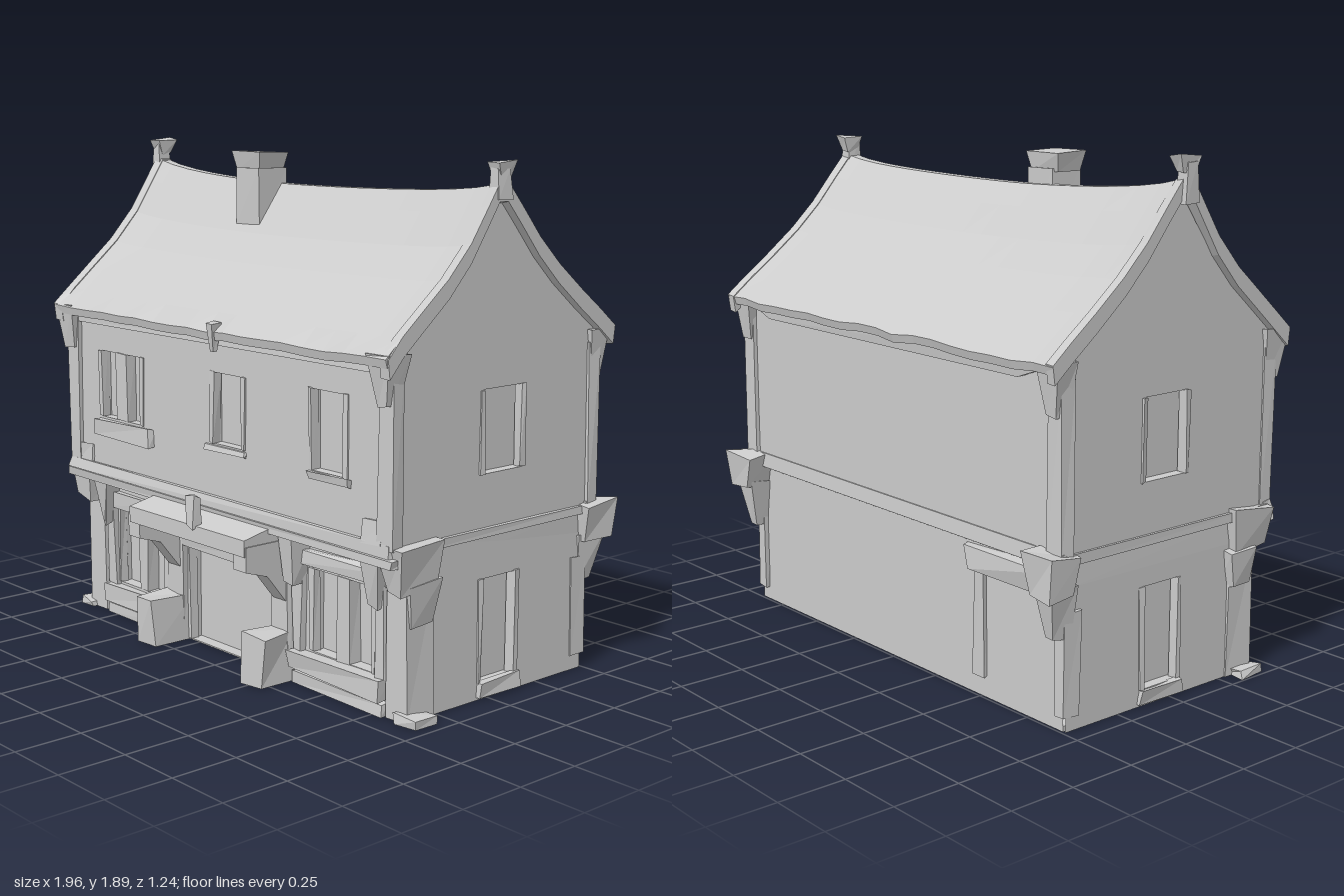
import * as THREE from 'three';

const MID = -0.02; // centre line of the house
const mat = new THREE.MeshStandardMaterial({ color: 0xcccccc, flatShading: true, side: THREE.DoubleSide });

// Repeatable hash so that equal corners always move together
const hash = (x, y, z, k) => {
  const s = Math.sin(x * 127.1 + y * 311.7 + z * 74.7 + k * 53.3) * 43758.5453;
  return (s - Math.floor(s)) * 2 - 1;
};

function mesh(name, geo) {
  const m = new THREE.Mesh(geo, mat);
  m.name = name;
  return m;
}

// Hand-hewn box given by its limits; taper scales the bottom, wobble shifts the corners
function block(name, [x0, x1], [y0, y1], [z0, z1], wobble = 0.008, taper = 1) {
  const geo = new THREE.BoxGeometry(x1 - x0, y1 - y0, z1 - z0);
  const p = geo.attributes.position;
  const cx = (x0 + x1) / 2, cy = (y0 + y1) / 2, cz = (z0 + z1) / 2;
  for (let i = 0; i < p.count; i++) {
    const t = p.getY(i) < 0 ? taper : 1;
    const x = p.getX(i) * t + cx, y = p.getY(i) + cy, z = p.getZ(i) * t + cz;
    p.setXYZ(i, x + wobble * hash(x, y, z, 1),
      y < 0.01 ? y : y + wobble * hash(x, y, z, 2), z + wobble * hash(x, y, z, 3));
  }
  geo.computeVertexNormals();
  return mesh(name, geo);
}

// Thin wall in its own plane (outside is +z) with box recesses [u0, u1, v0, v1, mullion width]
function wall(name, points, openings = [], depth = 0.04) {
  const g = new THREE.Group();
  g.name = name;
  const shape = new THREE.Shape(points.map(([u, v]) => new THREE.Vector2(u, v)));
  for (const [u0, u1, v0, v1, bar = 0] of openings) {
    shape.holes.push(new THREE.Path(rect(u0, u1, v0, v1).map(([u, v]) => new THREE.Vector2(u, v))));
    const recess = block('recess', [u0, u1], [v0, v1], [-depth, 0], 0);
    const faces = Array.from(recess.geometry.index.array);
    faces.splice(24, 6); // open towards the outside
    recess.geometry.setIndex(faces);
    g.add(recess);
    if (bar) {
      const u = (u0 + u1) / 2;
      g.add(block('mullion', [u - bar / 2, u + bar / 2], [v0, v1], [-depth, 0.004], 0.005));
    }
    // Thin uneven frame
    for (const u of [u0, u1]) g.add(block('jamb', [u - 0.014, u + 0.006], [v0, v1], [-0.03, 0.006], 0.005));
  }
  g.add(mesh('wallFace', new THREE.ShapeGeometry(shape)));
  return g;
}
const rect = (u0, u1, v0, v1) => [[u0, v0], [u1, v0], [u1, v1], [u0, v1]];

// Concave roof section, front eave to back eave, as [z, y]
const PROFILE = [[0.515, 1.235], [0.45, 1.295], [0.36, 1.365], [0.25, 1.45], [0.15, 1.55], [0.07, 1.66], [0.02, 1.73],
  [-0.02, 1.73], [-0.09, 1.655], [-0.18, 1.555], [-0.28, 1.465], [-0.4, 1.375], [-0.5, 1.305], [-0.58, 1.245]];

// Sagging roof slab between two x values, its ends swept up and out
function roofShell(name, x0, x1, steps, thick, lift) {
  const n = PROFILE.length, ring = 2 * n, pos = [], idx = [];
  for (let s = 0; s <= steps; s++) {
    const x = x0 + ((x1 - x0) * s) / steps, t = Math.abs((x - MID) / 0.955);
    const sweep = x < MID ? 0.055 * t * t + 0.02 * t ** 8 : 0.025 * t * t + 0.02 * t ** 8;
    const outer = PROFILE.map(([z, y], i) => {
      const edge = i === 0 || i === n - 1 ? 0.006 * hash(s, i, 1, x0) : 0;
      return [x, y + lift + edge + sweep * (y - 1.2) / 0.53, z * (1 + 0.02 * t ** 6) + edge];
    });
    const inner = outer.map(([a, y, z]) => [a, y - thick, z * 0.985]).reverse();
    pos.push(...outer.flat(), ...inner.flat());
  }
  const quad = (a, b, c, d) => idx.push(a, b, c, a, c, d);
  for (let s = 0; s < steps; s++) {
    for (let i = 0; i < ring; i++) {
      const j = (i + 1) % ring, a = s * ring, b = a + ring;
      quad(a + i, b + i, b + j, a + j);
    }
  }
  const e = steps * ring;
  for (let i = 0; i < n - 1; i++) {
    quad(e + i, e + ring - 1 - i, e + ring - 2 - i, e + i + 1);
    quad(i, i + 1, ring - 2 - i, ring - 1 - i);
  }
  const geo = new THREE.BufferGeometry();
  geo.setAttribute('position', new THREE.Float32BufferAttribute(pos, 3));
  geo.setIndex(idx);
  geo.computeVertexNormals();
  return mesh(name, geo);
}

// Bracket profile in (z, y), extruded across x
function bracket(name, x, width, points) {
  const shape = new THREE.Shape(points.map(([z, y]) => new THREE.Vector2(-z, y)));
  const geo = new THREE.ExtrudeGeometry(shape, { depth: width, bevelEnabled: false });
  geo.rotateY(Math.PI / 2);
  geo.translate(x - width / 2, 0, 0);
  return mesh(name, geo);
}

export function createModel() {
  const house = new THREE.Group();
  house.name = 'house';
  const add = (...parts) => house.add(...parts);
  const place = (w, x, z, turn) => { w.position.set(x, 0, z); w.rotation.y = turn; add(w); };

  // Front and back walls; the ground floor is a shell with a strip of base along the back
  place(wall('groundFrontWall', rect(-0.92, 0.89, 0, 0.55), [
    [-0.76, -0.44, 0.13, 0.43, 0.06], [0.41, 0.73, 0.13, 0.43, 0.06], [-0.3, 0.2, 0.005, 0.37]], 0.05), 0, 0.38, 0);
  place(wall('upperFrontWall', rect(-0.94, 0.9, 0.58, 1.24), [
    [-0.74, -0.47, 0.82, 1.08, 0.07], [-0.04, 0.14, 0.82, 1.08], [0.5, 0.68, 0.81, 1.09]]), 0, 0.465, 0);
  place(wall('groundBackWall', rect(-0.89, 0.92, 0, 0.55)), 0, -0.49, Math.PI);
  place(wall('upperBackWall', rect(-0.9, 0.94, 0.58, 1.25)), 0, -0.52, Math.PI);
  add(block('baseStrip', [-0.92, 0.89], [0, 0.02], [-0.49, -0.28], 0));

  // Floor between the storeys and the moulding above it
  add(block('floorSlab', [-0.93, 0.89], [0.5, 0.59], [-0.48, 0.38], 0.003));
  add(block('frontBand', [-0.96, 0.92], [0.55, 0.585], [0.37, 0.49]));
  add(block('frontBandTop', [-0.95, 0.9], [0.585, 0.63], [0.44, 0.485]));
  add(bracket('backBand', MID, 1.86, [[-0.48, 0.545], [-0.53, 0.57], [-0.525, 0.625], [-0.48, 0.625]]));

  for (const s of [-1, 1]) {
    const X = (d) => MID + s * d;
    const span = (a, b) => [Math.min(X(a), X(b)), Math.max(X(a), X(b))];
    const side = s > 0 ? 'left' : 'right';
    const turn = (s * Math.PI) / 2;
    const flip = (pts) => pts.map(([z, y]) => [-s * z, y]);
    const hole = (z0, z1, y0, y1) => [Math.min(-s * z0, -s * z1), Math.max(-s * z0, -s * z1), y0, y1];

    // Gable end and ground floor end, each with an opening
    const gable = [[-0.52, 0.58], [0.465, 0.58], [0.465, 1.22],
      ...PROFILE.slice(1, -1).map(([z, y]) => [z, y - 0.01]), [-0.52, 1.24]];
    place(wall(side + 'GableWall', flip(gable), [hole(-0.15, 0.05, 0.8, 1.09)]), X(0.92), 0, turn);
    place(wall(side + 'GroundEndWall', flip(rect(-0.49, 0.38, 0, 0.58)), [hole(-0.14, 0.04, 0.06, 0.43)]),
      X(0.91), 0, turn);
    add(block(side + 'DoorStep', span(0.9, 0.925), [0.01, 0.06], [-0.15, 0.05]));
    add(block(side + 'EndBand', span(0.89, 0.93), [0.58, 0.615], [-0.52, 0.46], 0.005));

    // Upper corner posts, flaring out under the eaves
    for (const [end, z] of [['Front', 0.455], ['Back', -0.505]]) {
      add(block(side + end + 'Post', span(0.86, 0.93), [0.6, 1.2], [z - 0.025, z + 0.025], 0.006));
      const out = Math.sign(z) * 0.015;
      add(block(side + end + 'PostHead', span(0.85, 0.945), [1.08, 1.25], [z + out - 0.05, z + out + 0.05], 0.006, 0.5));
    }
    add(block(side + 'PostFoot', span(0.79, 0.88), [0.62, 0.69], [0.45, 0.48], 0.01));

    // Ground corner piers and carved capitals
    add(block(side + 'FrontPier', span(0.82, 0.92), [0, 0.45], [0.28, 0.4], 0.006));
    add(block(side + 'BackPier', span(0.87, 0.915), [0.05, 0.42], [-0.505, -0.43], 0.006));
    add(block(side + 'FrontCapital', span(0.83, 0.965), [0.46, 0.62], [0.28, 0.46], 0.015, 0.75));
    add(block(side + 'FrontCorbel', span(0.85, 0.945), [0.34, 0.48], [0.26, 0.4], 0.012, 0.7));
    add(block(side + 'BackCapital', span(0.83, 0.96), [0.48, 0.62], [-0.61, -0.46], 0.015, 0.75));
    add(block(side + 'BackCorbel', span(0.84, 0.93), [0.33, 0.5], [-0.57, -0.45], 0.012, 0.5));
    add(block(side + 'FootStone', span(0.88, 0.97), [0, 0.025], [0.31, 0.42], 0.012));

    // Gable boards and finial
    const [r0, r1] = span(0.91, 0.95);
    add(roofShell(side + 'GableBoard', r0, r1, 1, 0.065, 0.005));
    const top = s > 0 ? 1.845 : 1.88, f = s > 0 ? 0 : 0.015;
    add(block(side + 'Finial', span(0.91 + f, 0.95 + f), [1.72, top - 0.02], [-0.025, 0.025], 0.004, 1.3));
    add(block(side + 'FinialCap', span(0.9 + f, 0.955 + f), [top - 0.06, top], [-0.055, 0.035], 0.008, 0.6));

    // Door pillars, feet and canopy brackets
    const d = -0.045 + s * 0.315;
    add(block(side + 'DoorPillar', [d - 0.045, d + 0.045], [0, 0.5], [0.37, 0.41]));
    add(block(side + 'DoorPillarFoot', [d - 0.05, d + 0.05], [0, 0.19], [0.37, 0.54], 0.015));
    add(bracket(side + 'CanopyBracket', d, 0.07,
      [[0.38, 0.26], [0.42, 0.3], [0.5, 0.4], [0.595, 0.43], [0.595, 0.52], [0.38, 0.52]]));
  }
  // Brace and its sloping head on the back wall
  add(block('backBrace', [-0.53, -0.47], [0.08, 0.5], [-0.505, -0.48], 0.008, 0.8));
  add(block('backBraceHead', [-0.9, -0.43], [0.46, 0.55], [-0.53, -0.48], 0.012, 0.8));

  // Door lintel and sloping canopy with a small crest
  add(block('doorLintel', [-0.31, 0.2], [0.37, 0.43], [0.37, 0.41], 0.012));
  add(block('doorFrieze', [-0.3, 0.21], [0.44, 0.5], [0.37, 0.45], 0.01));
  add(bracket('canopy', -0.04, 0.68, [[0.38, 0.5], [0.6, 0.485], [0.6, 0.545], [0.46, 0.575], [0.38, 0.58]]));
  add(block('canopyCrest', [-0.015, 0.025], [0.54, 0.65], [0.575, 0.615], 0.01, 0.8));

  // Front sills, ground floor window posts and heads
  add(block('upperSill', [-0.76, -0.41], [0.745, 0.81], [0.45, 0.49]));
  add(block('middleSill', [-0.08, 0.15], [0.79, 0.82], [0.45, 0.48]));
  add(block('endSill', [0.49, 0.7], [0.78, 0.81], [0.45, 0.48]));
  for (const [x0, x1] of [[-0.81, -0.39], [0.33, 0.8]]) {
    add(block('groundSill', [x0, x1], [0.06, 0.125], [0.37, 0.43]));
    add(block('groundPlinth', [x0, x1], [0, 0.04], [0.37, 0.41]));
    add(block('groundWindowHead', [x0, x1], [0.44, 0.5], [0.37, 0.41], 0.012));
    for (const x of [x0 + 0.02, x1 - 0.02]) {
      add(block('groundWindowPost', [x - 0.025, x + 0.025], [0.12, 0.45], [0.37, 0.405], 0.008));
      add(block('groundCorbel', [x - 0.04, x + 0.04], [0.38, 0.55], [0.36, 0.46], 0.014, 0.5));
    }
  }

  // Roof, eave trim and chimney
  add(roofShell('roof', MID - 0.95, MID + 0.945, 18, 0.03, 0));
  add(block('frontEaveBeam', [-0.93, 0.89], [1.18, 1.24], [0.44, 0.485], 0.006));
  add(block('backEaveBeam', [-0.93, 0.89], [1.18, 1.25], [-0.55, -0.5], 0.006, 0.8));
  add(block('eaveOrnament', [0, 0.035], [1.17, 1.27], [0.48, 0.525], 0.008, 0.6));
  add(block('chimneyStack', [-0.31, -0.18], [1.58, 1.79], [0, 0.13], 0.004));
  add(block('chimneyTop', [-0.34, -0.17], [1.78, 1.85], [-0.005, 0.135], 0.006, 0.8));

  return house;
}
